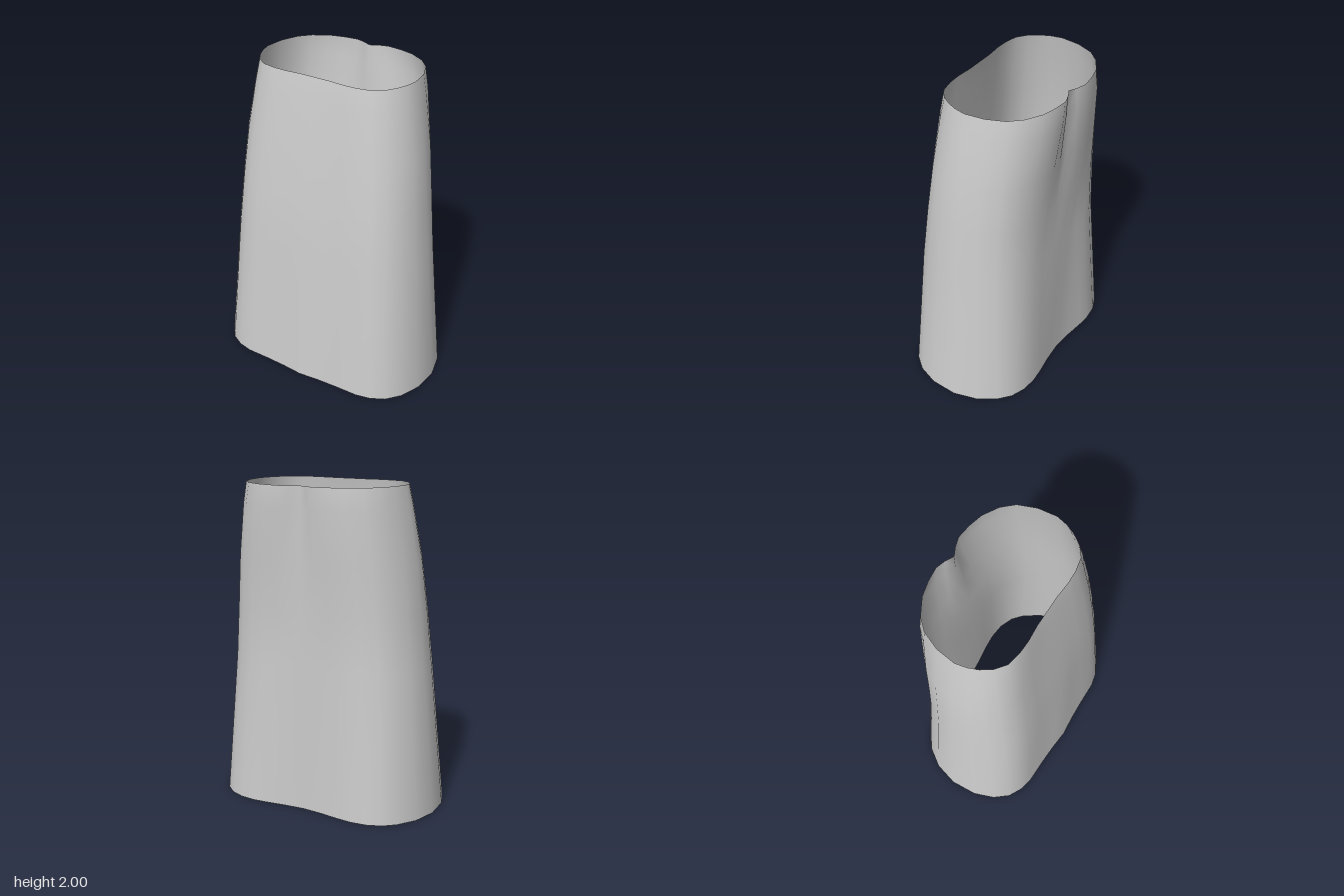
import * as THREE from 'three';

// Half outlines [x, z] from front centre round the side to back centre
const hem = [[0, .43], [.13, .418], [.27, .412], [.42, .41], [.51, .39], [.595, .345], [.665, .26], [.715, .13], [.726, -.04],
  [.685, -.195], [.61, -.305], [.54, -.365], [.45, -.4], [.35, -.41], [.26, -.403], [.13, -.385], [0, -.375]];
const rim = [[0, .212], [.1, .212], [.2, .22], [.28, .217], [.365, .2], [.43, .15], [.47, .09], [.495, .03], [.51, -.04],
  [.495, -.16], [.45, -.27], [.385, -.34], [.29, -.395], [.2, -.418], [.11, -.428], [.05, -.41], [0, -.384]];

// Height, narrowing of the sides, lean of the front, hollow of the back
const levels = [
  [0, 0, 0, 0],
  [.9, .36, .31, .046],
  [1.25, .5, .495, .04],
  [1.55, .64, .68, .022],
  [1.87, .89, .885, -.006],
  [2, 1, 1, 0],
];

// Full closed outline at one level, blended from hem to rim and mirrored
function outline([y, narrowing, lean, hollow]) {
  const { lerp, clamp } = THREE.MathUtils;
  const half = hem.map(([x0, z0], i) => {
    const [x1, z1] = rim[i];
    const x = lerp(x0, x1, narrowing);
    const z = lerp(z0, z1, z0 > 0 ? lean : narrowing);
    // The hollow fades towards the sides and the centre ridge of the back
    const inset = hollow * clamp(-z / .4, 0, 1) * clamp(x / .2, 0, 1);
    return [x, y, z + inset];
  });
  const mirrored = half.slice(1, -1).reverse().map(([x, , z]) => [-x, y, z]);
  return [...half, ...mirrored];
}

// Joins the outlines into one smooth open wall
function loftWall() {
  const rings = levels.map(outline);
  const n = rings[0].length;
  const index = [];
  for (let i = 0; i < rings.length - 1; i++) {
    for (let j = 0; j < n; j++) {
      const a = i * n + j, b = i * n + (j + 1) % n;
      index.push(a, b, b + n, a, b + n, a + n);
    }
  }
  const geometry = new THREE.BufferGeometry();
  geometry.setAttribute('position', new THREE.Float32BufferAttribute(rings.flat(2), 3));
  geometry.setIndex(index);
  geometry.computeVertexNormals();
  return geometry;
}

export function createModel() {
  const group = new THREE.Group();
  group.name = 'taperedSleeve';
  const grey = new THREE.MeshStandardMaterial({ color: 0xcccccc, side: THREE.DoubleSide });
  grey.name = 'light grey';

  // Open-ended tapered wall with a folded back
  const wall = new THREE.Mesh(loftWall(), grey);
  wall.name = 'sleeveWall';
  group.add(wall);
  return group;
}
